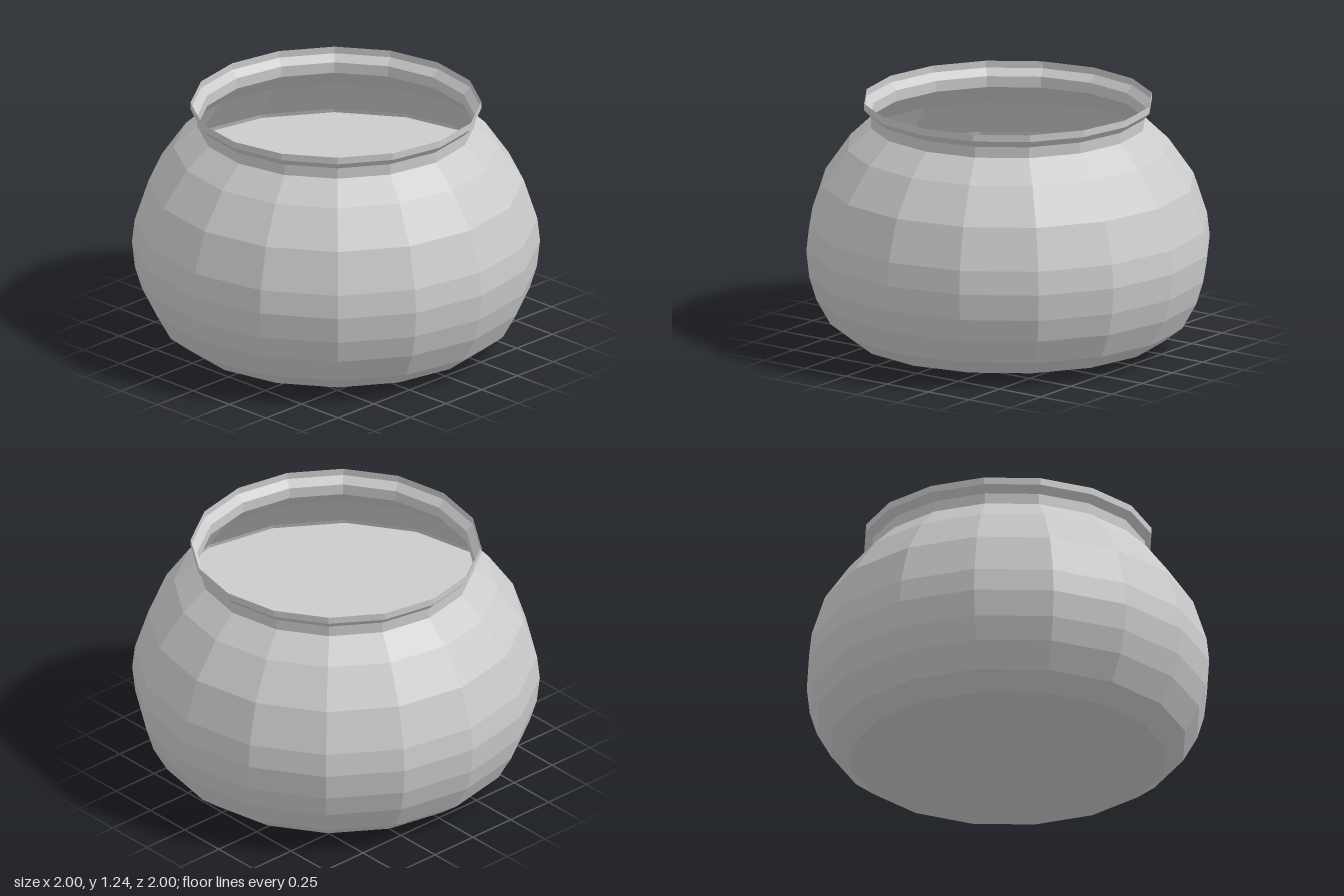
import * as THREE from 'three';

const SIDES = 16;

export function createModel() {
  const group = new THREE.Group();
  const material = new THREE.MeshStandardMaterial({
    color: 0xcccccc, flatShading: true, side: THREE.DoubleSide,
  });

  // Thin-walled surface of revolution from [radius, height] pairs
  const addLathe = (name, profile) => {
    const points = profile.map(([r, y]) => new THREE.Vector2(r, y));
    const mesh = new THREE.Mesh(new THREE.LatheGeometry(points, SIDES), material);
    mesh.name = name;
    group.add(mesh);
  };

  // Rounded body with a closed, slightly dished base
  addLathe('bowlBody', [
    [0, 0], [0.51, 0], [0.78, 0.045], [0.88, 0.123], [0.95, 0.25], [0.985, 0.365],
    [1, 0.497], [0.987, 0.615], [0.92, 0.82], [0.795, 1.0], [0.68, 1.11],
  ]);

  // Straight neck
  addLathe('neck', [[0.68, 1.11], [0.68, 1.165]]);

  // Flared lip with an upright edge
  addLathe('rim', [[0.68, 1.165], [0.713, 1.2], [0.713, 1.235]]);

  // Flat liquid surface inside the bowl
  const liquid = new THREE.Mesh(new THREE.CircleGeometry(0.925, SIDES), material);
  liquid.name = 'liquidSurface';
  liquid.rotation.x = -Math.PI / 2;
  liquid.position.y = 0.8;
  group.add(liquid);

  return group;
}
